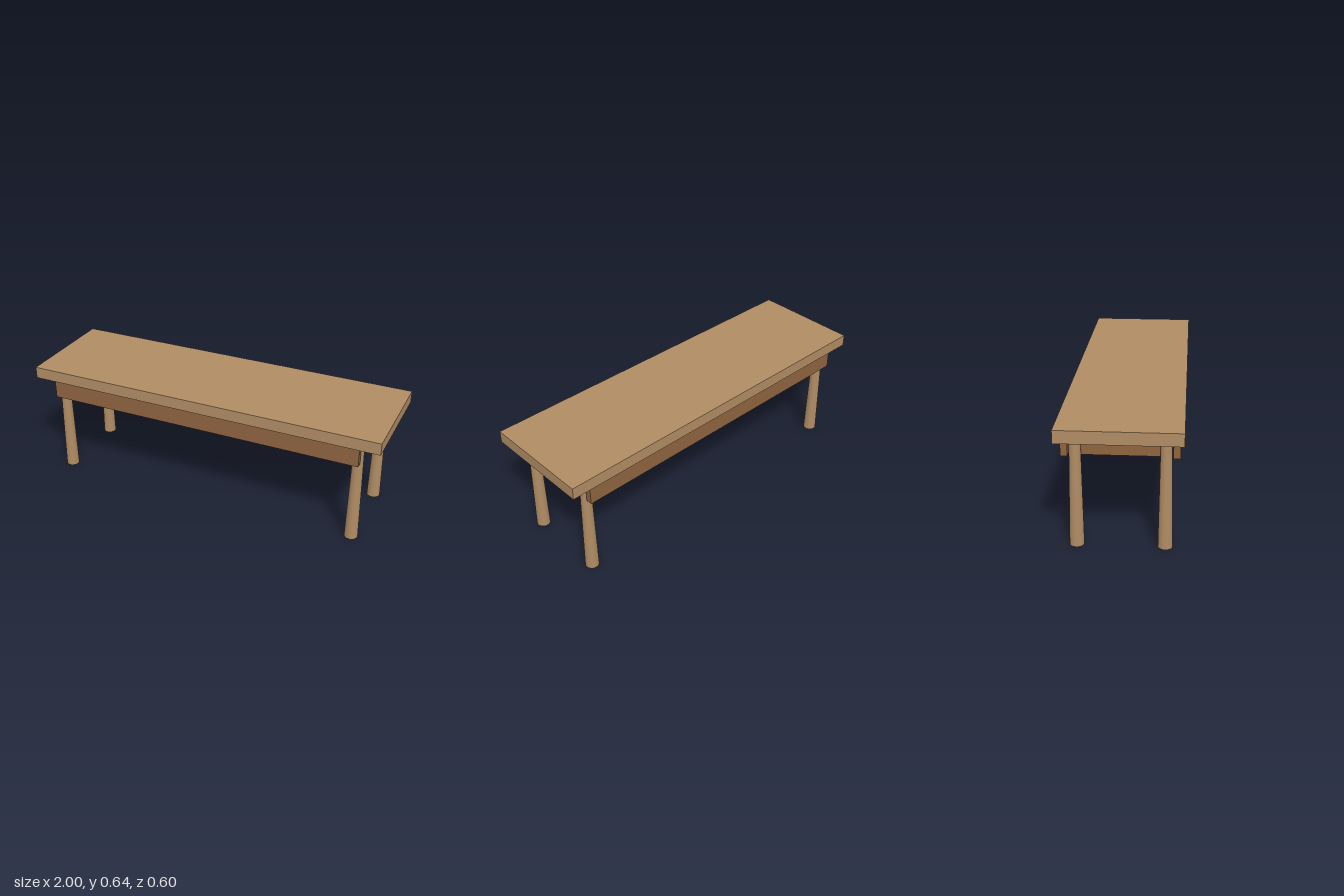
import * as THREE from 'three';

const topWood = new THREE.MeshStandardMaterial({ color: 0xb08c64 });
const railWood = new THREE.MeshStandardMaterial({ color: 0x8f6440 });

export function createModel() {
  const model = new THREE.Group();

  const add = (name, geometry, material, x, y, z) => {
    const mesh = new THREE.Mesh(geometry, material);
    mesh.name = name;
    mesh.position.set(x, y, z);
    model.add(mesh);
  };

  // Plank top
  add('top', new THREE.BoxGeometry(2, 0.065, 0.6), topWood, 0, 0.6125, 0);

  const leg = new THREE.CylinderGeometry(0.027, 0.0365, 0.58, 24);
  const longRail = new THREE.BoxGeometry(1.78, 0.099, 0.034);
  const endRail = new THREE.BoxGeometry(0.034, 0.099, 0.42);

  for (const s of [1, -1]) {
    const side = s > 0 ? 'left' : 'right';
    // Long rails outside the legs, end rails between the leg pairs
    add(s > 0 ? 'frontRail' : 'backRail', longRail, railWood, 0, 0.5225, s * 0.265);
    add(side + 'EndRail', endRail, railWood, s * 0.85, 0.5225, 0);

    // Tapered round legs, wider at the foot
    add(side + 'FrontLeg', leg, topWood, s * 0.87, 0.29, 0.215);
    add(side + 'BackLeg', leg, topWood, s * 0.87, 0.29, -0.215);
  }

  return model;
}
